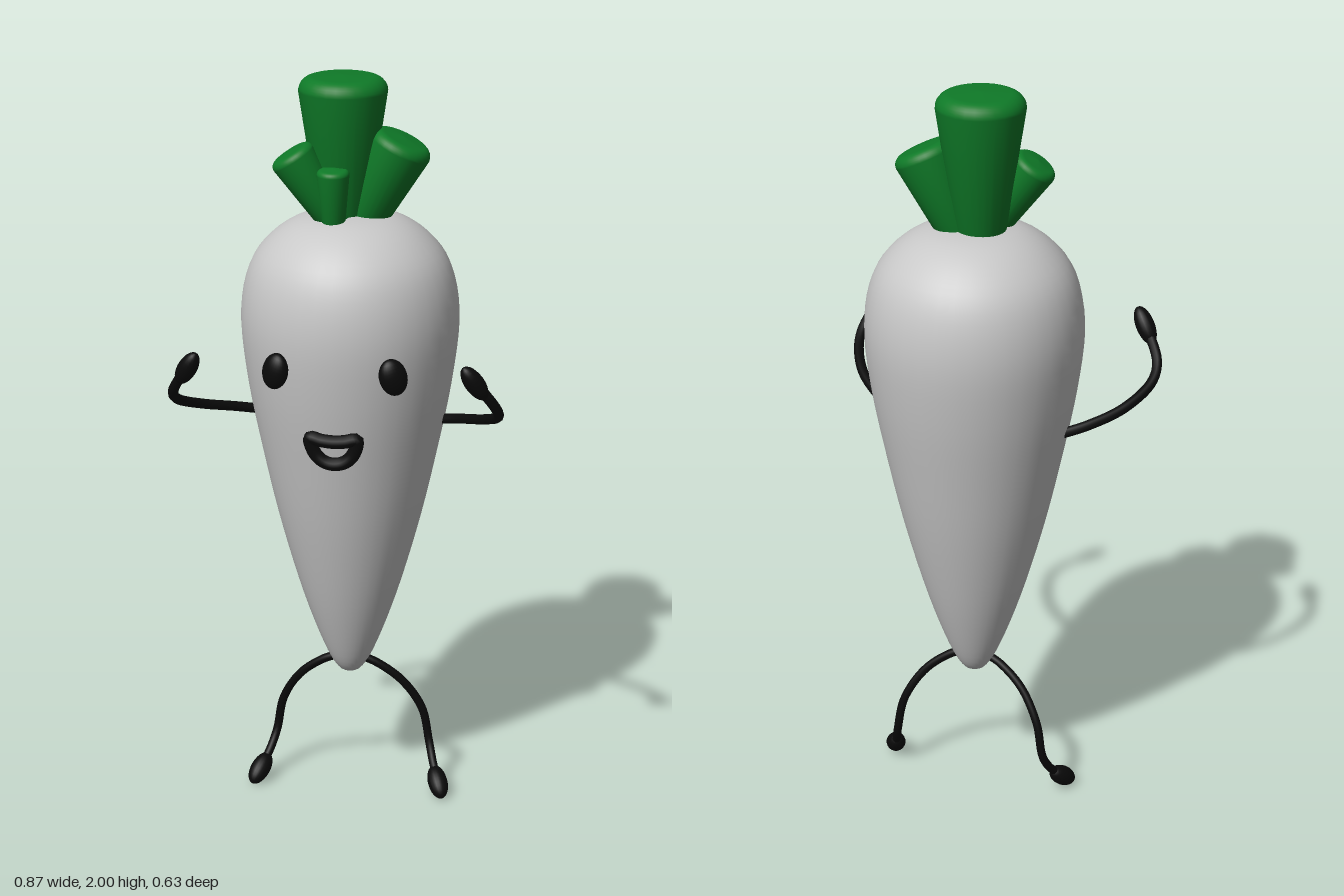
import * as THREE from 'three';

const mat = (name, color, side = THREE.FrontSide) => {
  const m = new THREE.MeshStandardMaterial({ color, side });
  m.name = name;
  return m;
};
const V = (x, y, z) => new THREE.Vector3(x, y, z);
const UP = V(0, 1, 0);

export function createModel() {
  const white = mat('rootWhite', 0xc8c8c8);
  const green = mat('leafGreen', 0x0f7a28);
  const black = mat('limbBlack', 0x0a0a0a);
  const root = new THREE.Group();
  root.name = 'rootVegetable';

  const add = (name, geometry, material, parent = root) => {
    const mesh = new THREE.Mesh(geometry, material);
    mesh.name = name;
    parent.add(mesh);
    return mesh;
  };

  // Tapered body, turned from a smooth outline
  const outline = new THREE.SplineCurve([
    [0, 0.35], [0.032, 0.362], [0.07, 0.43], [0.128, 0.59], [0.187, 0.8], [0.232, 1.0],
    [0.27, 1.2], [0.286, 1.37], [0.264, 1.5], [0.207, 1.582], [0.12, 1.633], [0, 1.647],
  ].map(([x, y]) => new THREE.Vector2(x, y)));
  const bodyPoints = outline.getPoints(48);
  bodyPoints.forEach(p => { p.x = Math.max(p.x, 0); });
  const bodyZ = -0.025;
  add('body', new THREE.LatheGeometry(bodyPoints, 40), white).position.z = bodyZ;

  // Flared leaf stalks with rounded ends
  const leaf = (name, base, tip, r0, r1) => {
    const axis = tip.clone().sub(base);
    const h = axis.length();
    const f = r1 * 0.32;
    const pts = [new THREE.Vector2(0, 0), new THREE.Vector2(r0, 0)];
    for (let i = 0; i <= 8; i++) {
      const a = (i / 8) * Math.PI / 2;
      pts.push(new THREE.Vector2(r1 - f + f * Math.cos(a), h - f + f * Math.sin(a)));
    }
    pts.push(new THREE.Vector2(0, h + 0.004));
    const mesh = add(name, new THREE.LatheGeometry(pts, 28), green);
    mesh.position.copy(base);
    mesh.quaternion.setFromUnitVectors(UP, axis.normalize());
  };
  leaf('tallLeaf', V(-0.02, 1.6, -0.033), V(-0.02, 1.996, -0.033), 0.06, 0.115);
  leaf('leftLeaf', V(0.025, 1.6, -0.035), V(0.138, 1.84, -0.035), 0.05, 0.083);
  leaf('rightLeaf', V(-0.02, 1.61, 0.02), V(-0.147, 1.81, 0.037), 0.038, 0.06);
  leaf('smallLeaf', V(-0.03, 1.6, 0.05), V(-0.03, 1.775, 0.062), 0.027, 0.042);

  // Ellipsoid stretched along a direction, for hands and feet
  const blob = (name, centre, dir, r, half, parent) => {
    const g = new THREE.SphereGeometry(1, 20, 14);
    g.scale(r, half, r);
    g.applyQuaternion(new THREE.Quaternion().setFromUnitVectors(UP, dir.normalize()));
    g.translate(centre.x, centre.y, centre.z);
    const p = g.attributes.position;
    for (let i = 0; i < p.count; i++) p.setY(i, Math.max(p.getY(i), 0));
    g.computeVertexNormals();
    add(name, g, black, parent);
  };
  const limb = (name, points, r, parent) => add(name,
    new THREE.TubeGeometry(new THREE.CatmullRomCurve3(points), 32, r, 10), black, parent);

  for (const s of [1, -1]) {
    const side = s > 0 ? 'left' : 'right';

    // Arm curving forward and up to the hand
    const arm = new THREE.Group();
    arm.name = side + 'Arm';
    root.add(arm);
    limb(side + 'ArmTube', [V(s * 0.24, 1.095, -0.02), V(s * 0.3, 1.112, 0.02),
      V(s * 0.372, 1.14, 0.095), V(s * 0.418, 1.183, 0.19),
      V(s * 0.416, 1.222, 0.24), V(s * 0.38, 1.285, 0.278)], 0.0135, arm);
    blob(side + 'Hand', V(s * 0.367, 1.3, 0.286), V(s * -0.052, 0.085, 0.03), 0.025, 0.054, arm);

    // Leg bending down to the foot
    const leg = new THREE.Group();
    leg.name = side + 'Leg';
    root.add(leg);
    limb(side + 'LegTube', [V(s * 0.03, 0.395, -0.02), V(s * 0.075, 0.375, -0.025),
      V(s * 0.142, 0.32, -0.04), V(s * 0.195, 0.23, -0.062), V(s * 0.215, 0.13, -0.066),
      V(s * 0.232, 0.075, -0.035), V(s * 0.245, 0.05, -0.01)], 0.0115, leg);
    blob(side + 'Foot', V(s * 0.25, 0.038, 0.002), V(s * 0.026, -0.045, 0.055), 0.027, 0.05, leg);

    // Eye set into the body surface
    const eye = add(side + 'Eye', new THREE.SphereGeometry(1, 24, 16), black);
    eye.scale.set(0.037, 0.05, 0.026);
    eye.position.set(s * 0.152, 1.283, 0.222);
    eye.rotation.set(0, s * 0.5, s * 0.3, 'YXZ');
  }

  // Open smile outline wrapped round the body
  const mouth = [[-0.06, 1.112], [-0.03, 1.108], [0, 1.106], [0.03, 1.108], [0.06, 1.112],
    [0.05, 1.07], [0.028, 1.048], [0, 1.041], [-0.028, 1.048], [-0.05, 1.07]]
    .map(([x, y]) => {
      const r = 0.232 + (y - 1) * 0.19;
      return V(x, y, bodyZ + 0.012 + Math.sqrt(r * r - x * x));
    });
  add('mouth', new THREE.TubeGeometry(
    new THREE.CatmullRomCurve3(mouth, true), 64, 0.018, 10, true), black);

  return root;
}
